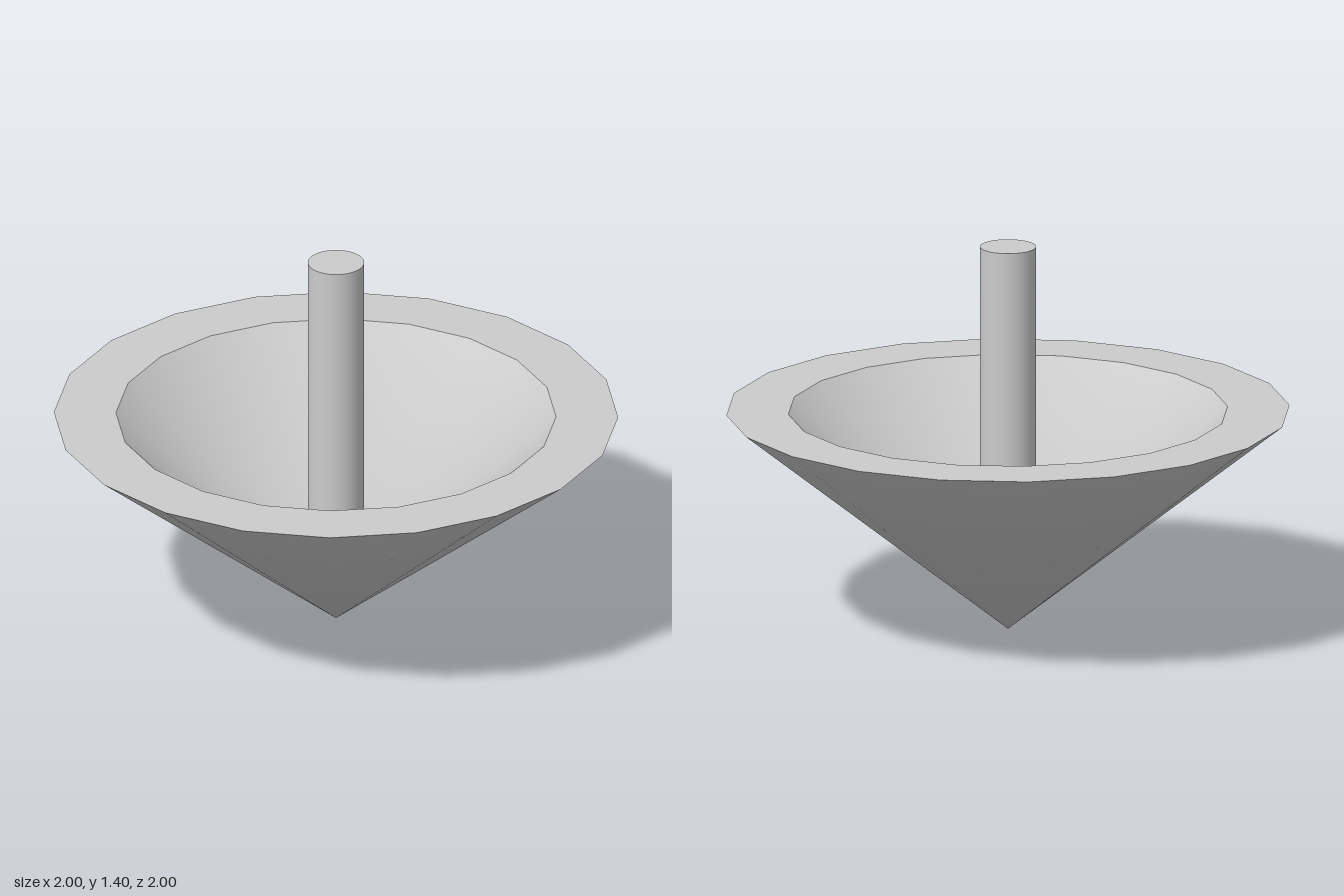
import * as THREE from 'three';
import { mergeVertices } from 'three/addons/utils/BufferGeometryUtils.js';

const SIDES = 20, RIM_Y = 0.8, INNER_R = 0.78, BOWL_DEPTH = 0.71;

// Point-down open cone with its normals smoothed through the tip
function smoothCone(radius, height, inward) {
  let g = new THREE.ConeGeometry(radius, height, SIDES, 1, true);
  g.rotateX(Math.PI);
  g.deleteAttribute('normal');
  g.deleteAttribute('uv');
  g = mergeVertices(g, 1e-4);
  if (inward) g.setIndex(Array.from(g.index.array).reverse());
  g.computeVertexNormals();
  g.translate(0, RIM_Y - height / 2, 0);
  return g;
}

export function createModel() {
  const group = new THREE.Group();
  const material = new THREE.MeshStandardMaterial({ color: 0xcccccc });
  const add = (name, geometry) => {
    const mesh = new THREE.Mesh(geometry, material);
    mesh.name = name;
    group.add(mesh);
  };

  // Hollow conical body: outer wall, steeper inner wall and flat rim
  add('outerCone', smoothCone(1, RIM_Y, false));
  add('innerBowl', smoothCone(INNER_R, BOWL_DEPTH, true));
  add('rim', new THREE.RingGeometry(INNER_R, 1, SIDES, 1)
    .rotateX(-Math.PI / 2).translate(0, RIM_Y, 0));

  // Central rod rising from the bottom of the bowl
  const bottom = RIM_Y - BOWL_DEPTH, top = 1.4;
  add('rod', new THREE.CylinderGeometry(0.1, 0.1, top - bottom, 48)
    .translate(0, (top + bottom) / 2, 0));

  return group;
}
